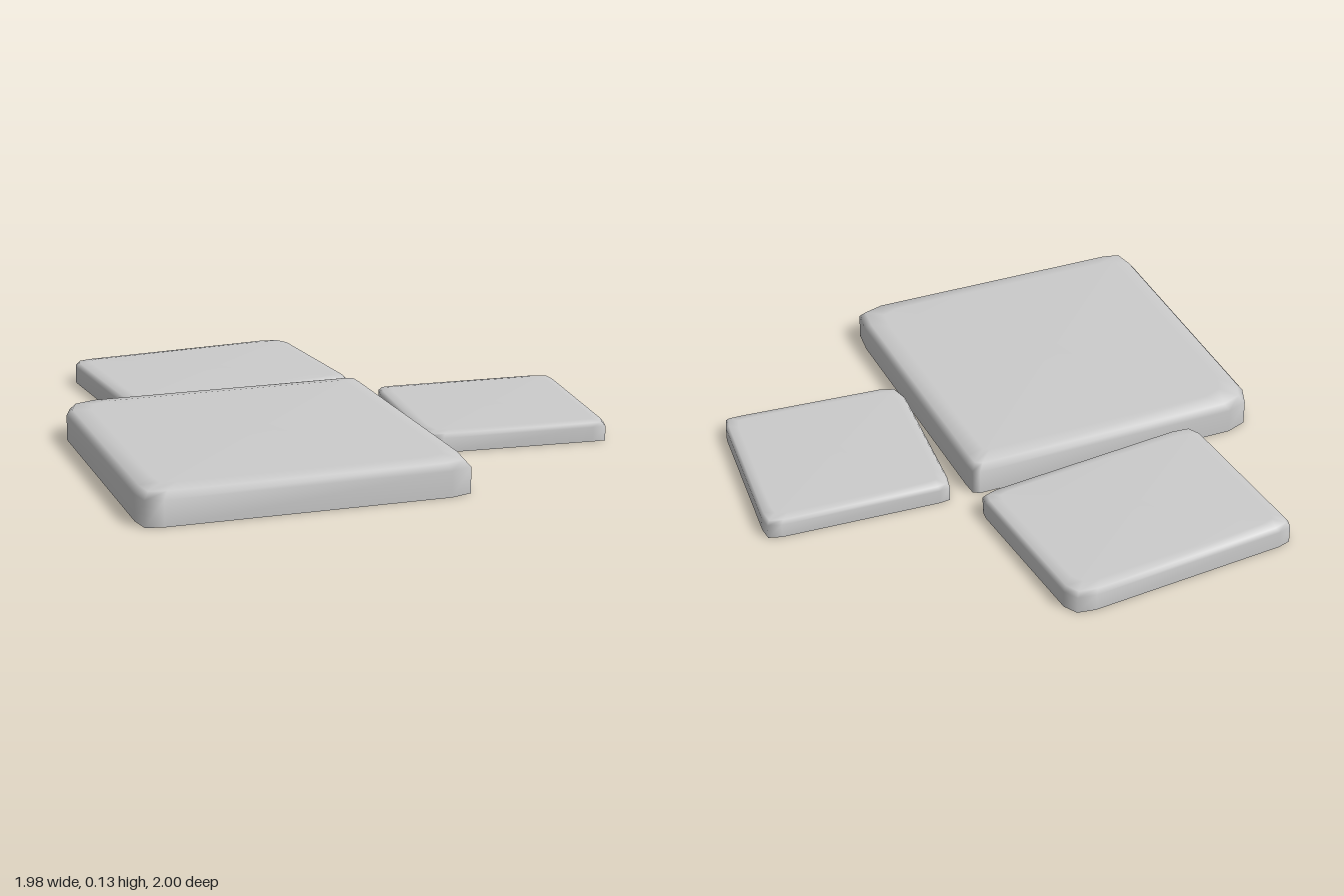
import * as THREE from 'three';

const material = new THREE.MeshStandardMaterial({ color: 0xcccccc, side: THREE.DoubleSide });

// Open-bottomed slab: an outline (x, z pairs, clockwise from above) lofted
// up a straight wall and over a soft bevel to a flat top.
function makeSlab(name, height, bevel, outline) {
  const n = outline.length;
  const xs = outline.map(p => p[0]);
  const zs = outline.map(p => p[1]);
  const x0 = Math.min(...xs), x1 = Math.max(...xs);
  const z0 = Math.min(...zs), z1 = Math.max(...zs);
  const cx = (x0 + x1) / 2, cz = (z0 + z1) / 2;
  const rings = [[0, 0], [0, height * 0.74], [bevel * 0.25, height * 0.93], [bevel, height]];
  const positions = [];
  const index = [];

  for (const [inset, y] of rings) {
    const sx = 1 - 2 * inset / (x1 - x0);
    const sz = 1 - 2 * inset / (z1 - z0);
    for (const [x, z] of outline) positions.push(cx + (x - cx) * sx, y, cz + (z - cz) * sz);
  }
  positions.push(cx, height, cz);

  // Walls and bevel
  for (let r = 0; r < rings.length - 1; r++) {
    for (let i = 0; i < n; i++) {
      const j = (i + 1) % n;
      const a = r * n + i, b = r * n + j;
      index.push(b, a, a + n, b, a + n, b + n);
    }
  }
  // Top cap
  const top = (rings.length - 1) * n;
  for (let i = 0; i < n; i++) index.push(top + n, top + (i + 1) % n, top + i);

  const geometry = new THREE.BufferGeometry();
  geometry.setAttribute('position', new THREE.Float32BufferAttribute(positions, 3));
  geometry.setIndex(index);
  geometry.computeVertexNormals();
  const mesh = new THREE.Mesh(geometry, material);
  mesh.name = name;
  return mesh;
}

export function createModel() {
  const group = new THREE.Group();
  group.name = 'pavingStones';

  group.add(
    // Large stone at the front
    makeSlab('largeStone', 0.13, 0.08, [
      [-0.99, -0.10], [-0.96, -0.18], [-0.88, -0.21],
      [0.16, -0.21], [0.185, -0.195], [0.19, -0.14],
      [0.22, 0.87], [0.21, 0.97], [0.13, 0.995],
      [-0.90, 0.995], [-0.965, 0.98], [-0.98, 0.90],
    ]),
    // Medium stone at the back
    makeSlab('backStone', 0.09, 0.055, [
      [-0.78, -0.88], [-0.77, -0.915], [-0.72, -0.93],
      [0.04, -1.0], [0.11, -0.99], [0.14, -0.94],
      [0.20, -0.36], [0.195, -0.32], [0.15, -0.305],
      [-0.63, -0.22], [-0.70, -0.225], [-0.725, -0.27],
    ]),
    // Small stone on the left
    makeSlab('sideStone', 0.075, 0.045, [
      [0.265, -0.14], [0.28, -0.205], [0.32, -0.21],
      [0.93, -0.18], [0.98, -0.165], [0.985, -0.11],
      [0.935, 0.48], [0.92, 0.53], [0.87, 0.53],
      [0.29, 0.49], [0.24, 0.47], [0.225, 0.41],
    ]),
  );
  return group;
}
